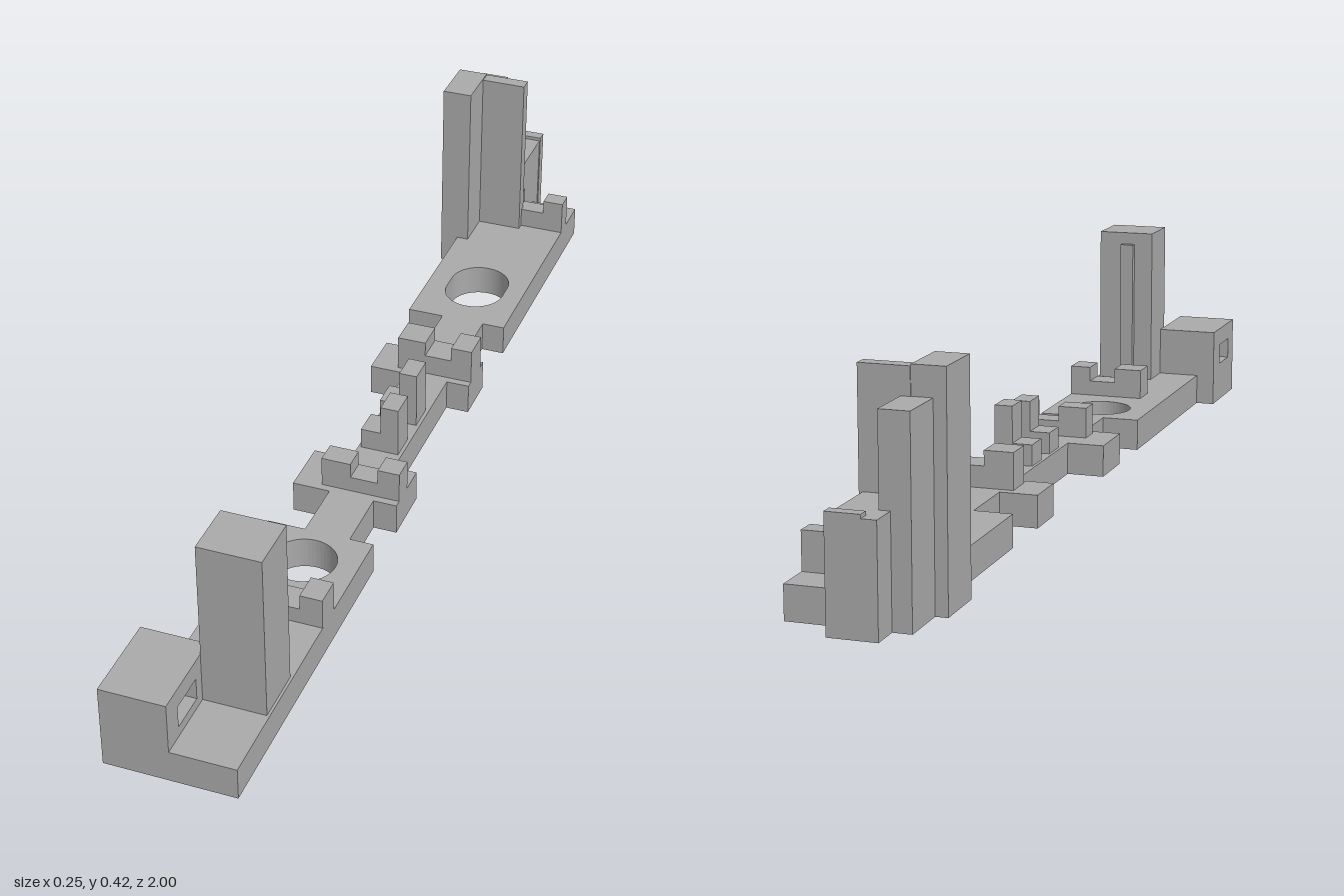
import * as THREE from 'three';

const BASE_TOP = 0.063;

export function createModel() {
  const group = new THREE.Group();
  group.name = 'castlePlate';
  const grey = new THREE.MeshStandardMaterial({ color: 0xaaaaaa });
  grey.name = 'plain grey';

  function add(name, geometry, parent = group) {
    const mesh = new THREE.Mesh(geometry, grey);
    mesh.name = name;
    parent.add(mesh);
    return mesh;
  }
  // Box given by its limits on each axis
  function block(name, [x0, x1], [y0, y1], [z0, z1], parent) {
    const g = new THREE.BoxGeometry(x1 - x0, y1 - y0, z1 - z0);
    g.translate((x0 + x1) / 2, (y0 + y1) / 2, (z0 + z1) / 2);
    return add(name, g, parent);
  }

  // Base plate: right edge steps listed as [x, z] from front to back, drawn with shape y = -z
  const L = -0.086, R = 0.123, NL = -0.012, NR = 0.077;
  const steps = [
    [1.0, 0.36, true], [0.36, 0.235, false], [0.235, 0.122, true],
    [0.122, -0.19, false], [-0.19, -0.283, true], [-0.283, -0.42, false], [-0.42, -0.943, true],
  ];
  const right = [], left = [];
  for (const [z0, z1, wide] of steps) {
    right.push(new THREE.Vector2(wide ? R : NR, -z0), new THREE.Vector2(wide ? R : NR, -z1));
    left.push(new THREE.Vector2(wide ? L : NL, -z0), new THREE.Vector2(wide ? L : NL, -z1));
  }
  const plate = new THREE.Shape([...right, ...left.reverse()]);
  const roundHole = new THREE.Path();
  roundHole.absarc(0.02, -0.447, 0.062, 0, Math.PI * 2, true);
  const slotHole = new THREE.Path();
  slotHole.absarc(0.02, 0.572, 0.062, 0, Math.PI, false);
  slotHole.absarc(0.02, 0.537, 0.062, Math.PI, Math.PI * 2, false);
  slotHole.closePath();
  plate.holes.push(roundHole, slotHole);
  const plateGeo = new THREE.ExtrudeGeometry(plate, { depth: BASE_TOP, bevelEnabled: false, curveSegments: 24 });
  plateGeo.rotateX(-Math.PI / 2);
  add('basePlate', plateGeo);

  // Gatehouse block with a window running through it sideways (shape x = -z)
  const gate = new THREE.Shape([[-1, 0], [-0.83, 0], [-0.83, 0.163], [-1, 0.163]].map(p => new THREE.Vector2(...p)));
  gate.holes.push(new THREE.Path([[-0.957, 0.083], [-0.957, 0.126], [-0.882, 0.126], [-0.882, 0.083]].map(p => new THREE.Vector2(...p))));
  const gateGeo = new THREE.ExtrudeGeometry(gate, { depth: 0.124, bevelEnabled: false });
  gateGeo.rotateY(Math.PI / 2);
  gateGeo.translate(-0.124, 0, 0);
  add('gatehouse', gateGeo);

  // Front tower with a narrow rib on its back
  block('frontTower', [0, 0.118], [BASE_TOP, 0.39], [0.755, 0.86]);
  block('frontTowerRib', [0.04, 0.068], [BASE_TOP, 0.365], [0.742, 0.755]);

  // Notched walls: low centre between two merlons
  function notchedWall(z0, z1, top) {
    const wall = new THREE.Group();
    wall.name = 'notchedWall';
    group.add(wall);
    const tops = [top, top - 0.03, top];
    const xs = [-0.033, 0.025, 0.08, 0.123];
    tops.forEach((t, i) => block('wallSection', [xs[i], xs[i + 1]], [BASE_TOP, t], [z0, z1], wall));
  }
  notchedWall(0.56, 0.615, 0.124);
  notchedWall(0.175, 0.22, 0.124);
  notchedWall(-0.265, -0.205, 0.135);
  notchedWall(-0.87, -0.833, 0.134);

  // Pair of stepped posts on the neck
  for (const [z0, z1, top] of [[0.025, 0.08, 0.165], [-0.08, -0.025, 0.178]]) {
    block('postTall', [0.034, 0.07], [BASE_TOP, top], [z0, z1]);
    block('postStep', [-0.006, 0.034], [BASE_TOP, 0.105], [z0, z1]);
  }

  // Back tower cluster
  block('backTower', [-0.123, -0.062], [0, 0.417], [-0.843, -0.735]);
  block('backTowerWall', [-0.062, 0.03], [BASE_TOP, 0.414], [-0.845, -0.818]);
  block('backTurret', [-0.1, -0.045], [0, 0.364], [-0.943, -0.843]);
  block('backBuilding', [-0.065, 0.023], [0, 0.2], [-0.98, -0.845]);
  block('backBuildingRear', [-0.065, -0.038], [0, 0.2], [-1, -0.98]);
  block('backBuildingRib', [-0.038, 0.025], [0, 0.207], [-1, -0.978]);

  return group;
}
